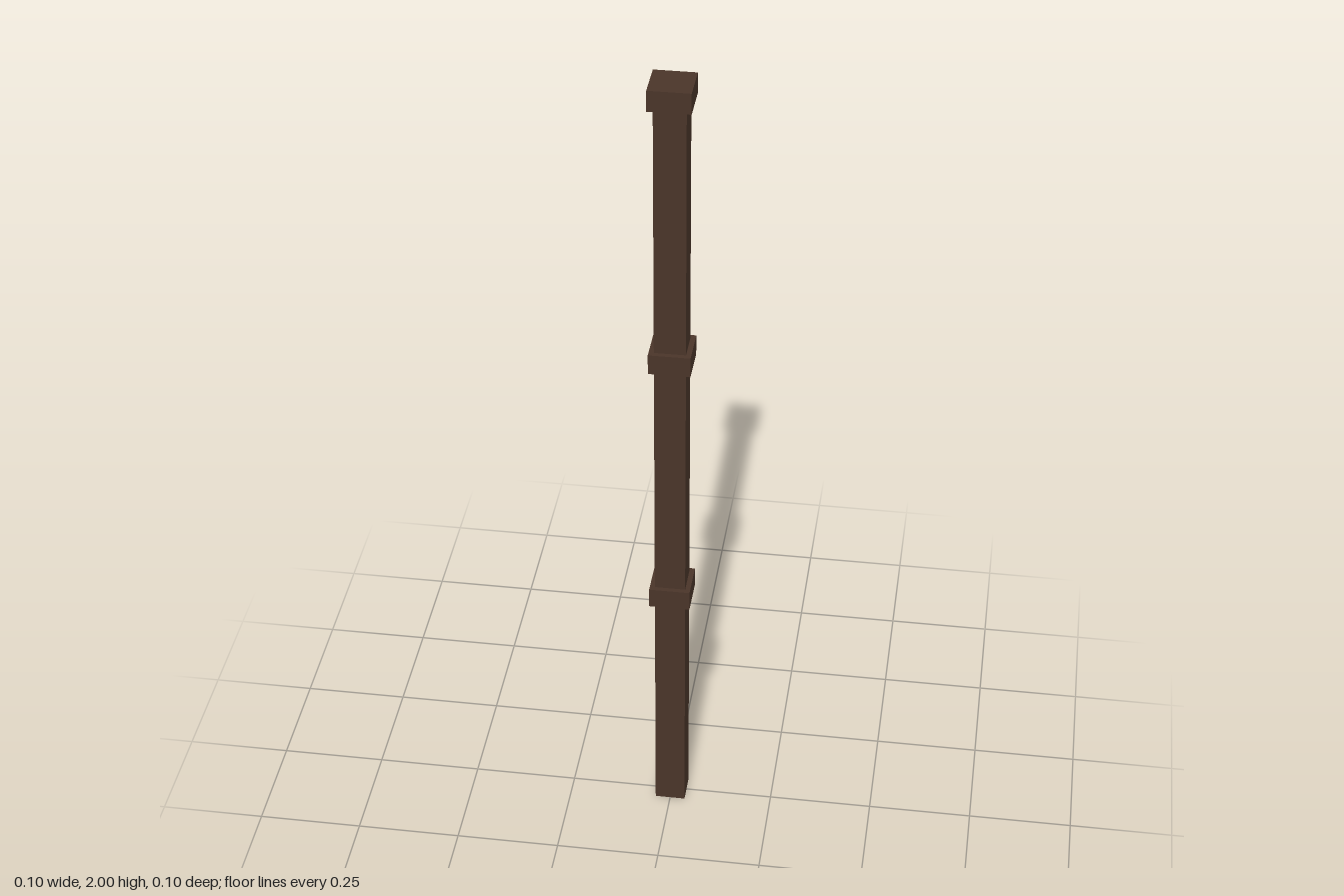
import * as THREE from 'three';

export function createModel() {
  const group = new THREE.Group();
  const wood = new THREE.MeshStandardMaterial({ color: 0x4a3529 });

  // Square block standing on the given height
  function block(name, width, height, bottom) {
    const mesh = new THREE.Mesh(new THREE.BoxGeometry(width, height, width), wood);
    mesh.name = name;
    mesh.position.y = bottom + height / 2;
    group.add(mesh);
  }

  const sections = 3;
  const sectionHeight = 2 / sections;
  const collarHeight = 0.05;

  // Square shaft, ending under the cap
  block('shaft', 0.073, 2 - collarHeight, 0);

  // A wider collar at the top of each third; the last one is the cap
  for (let i = 1; i <= sections; i++) {
    const name = i === sections ? 'cap' : `collar${i}`;
    block(name, 0.097, collarHeight, i * sectionHeight - collarHeight);
  }

  return group;
}
